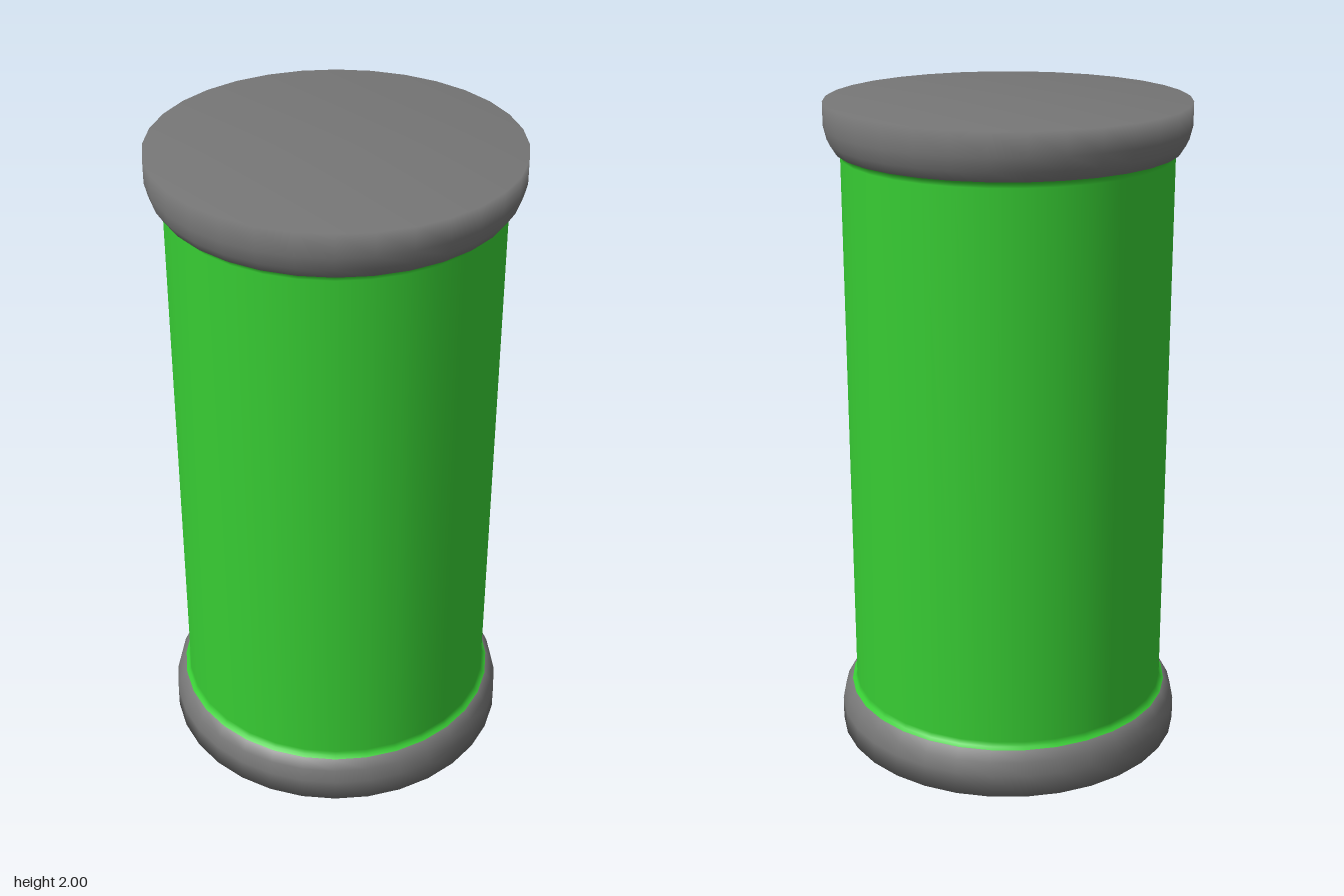
import * as THREE from 'three';

const SIDES = 32;

function lathe(name, points, color) {
  const profile = points.map(([r, y]) => new THREE.Vector2(r, y));
  const mesh = new THREE.Mesh(
    new THREE.LatheGeometry(profile, SIDES),
    new THREE.MeshStandardMaterial({ color })
  );
  mesh.name = name;
  return mesh;
}

export function createModel() {
  const group = new THREE.Group();
  group.name = 'canister';

  // Green barrel, flaring slightly where it meets the caps
  group.add(lathe('barrel', [
    [0.505, 0.14], [0.495, 0.146], [0.49, 0.16],
    [0.49, 1.84], [0.495, 1.854], [0.505, 1.86],
  ], 0x37cc33));

  // Matching end caps with a chamfered inner edge, softly shaded all over
  const capProfile = [[0, 0], [0.537, 0], [0.537, 0.07], [0.527, 0.11], [0.508, 0.14], [0.485, 0.14]];
  const bottomCap = lathe('bottomCap', capProfile, 0x767676);
  const topCap = lathe('topCap', capProfile, 0x767676);
  topCap.rotation.x = Math.PI;
  topCap.position.y = 2;
  group.add(bottomCap, topCap);

  return group;
}
